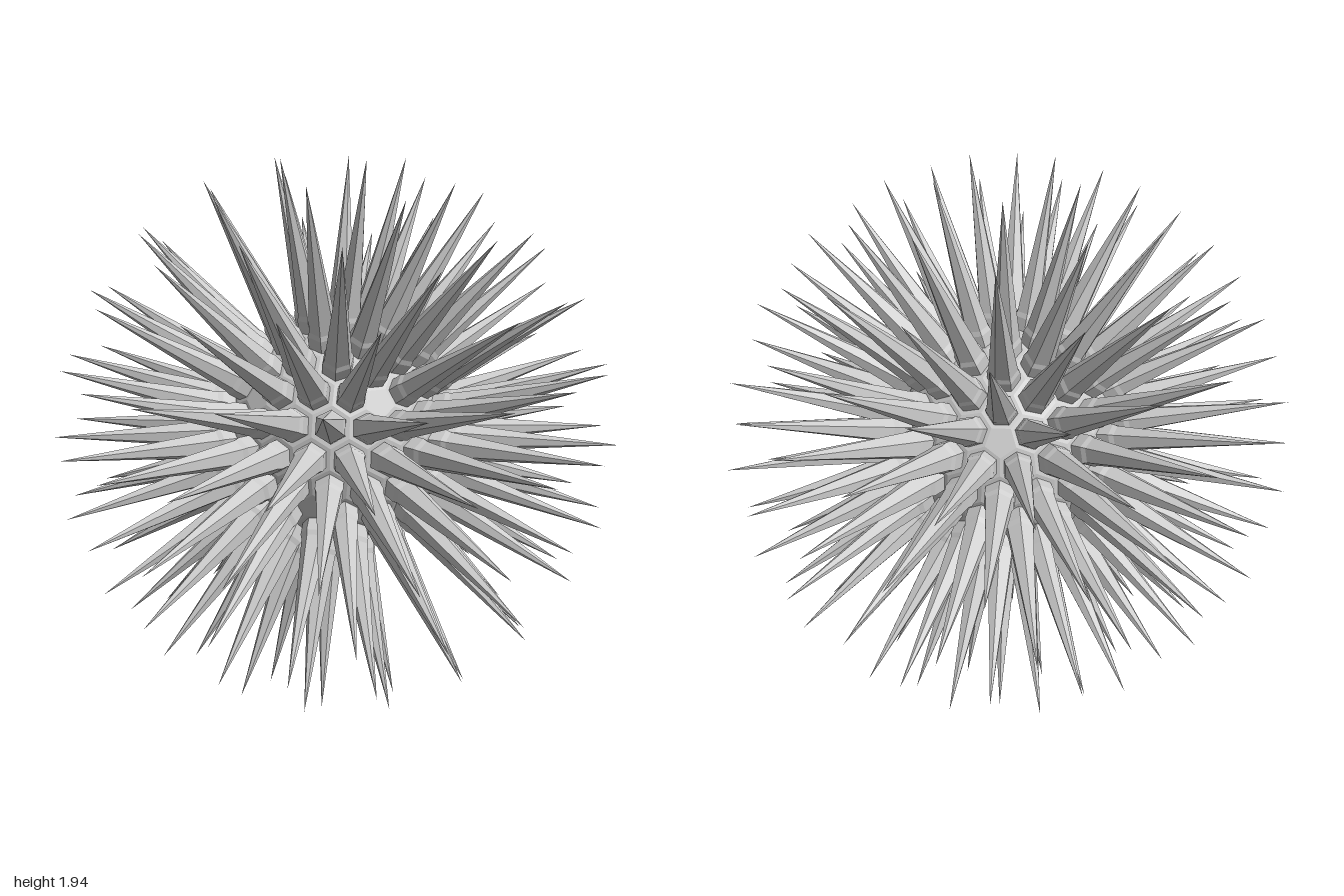
import * as THREE from 'three';

const CORE = 0.4, TIP = 1, N = 4;

// Icosahedron corners with a pole along y and the upper ring starting at +x.
function icoCorners() {
  const pts = [new THREE.Vector3(0, 1, 0), new THREE.Vector3(0, -1, 0)];
  const y = 1 / Math.sqrt(5), r = 2 * y;
  for (let k = 0; k < 5; k++) {
    const a = k * Math.PI * 0.4, b = a + Math.PI / 5;
    pts.push(new THREE.Vector3(r * Math.cos(a), y, r * Math.sin(a)));
    pts.push(new THREE.Vector3(r * Math.cos(b), -y, r * Math.sin(b)));
  }
  return pts;
}

// Cells of the ball: each subdivision point owns the centres of the triangles around it.
function makeCells() {
  const v = icoCorners(), cells = new Map();
  const near = (a, b) => v[a].distanceTo(v[b]) < 1.1;
  const addTriangle = (tri) => {
    const c = new THREE.Vector3();
    tri.forEach((p) => c.add(p));
    c.normalize().multiplyScalar(CORE);
    for (const p of tri) {
      const key = p.toArray().map((t) => Math.round(t * 1000) + 0).join();
      if (!cells.has(key)) cells.set(key, { dir: p.clone(), corners: [] });
      cells.get(key).corners.push(c);
    }
  };
  for (let a = 0; a < 12; a++) for (let b = a + 1; b < 12; b++) for (let c = b + 1; c < 12; c++) {
    if (!near(a, b) || !near(b, c) || !near(a, c)) continue;
    const at = (i, j) => new THREE.Vector3()
      .addScaledVector(v[a], (N - i - j) / N)
      .addScaledVector(v[b], i / N)
      .addScaledVector(v[c], j / N).normalize();
    for (let i = 0; i < N; i++) for (let j = 0; j < N - i; j++) {
      addTriangle([at(i, j), at(i + 1, j), at(i, j + 1)]);
      if (i + j < N - 1) addTriangle([at(i + 1, j), at(i + 1, j + 1), at(i, j + 1)]);
    }
  }
  // Order the corners counter-clockwise as seen from outside.
  for (const cell of cells.values()) {
    cell.center = new THREE.Vector3();
    cell.corners.forEach((p) => cell.center.addScaledVector(p, 1 / cell.corners.length));
    cell.dir = cell.center.clone().normalize();
    const u = cell.corners[0].clone().sub(cell.center).normalize();
    const w = cell.dir.clone().cross(u);
    const angle = (p) => {
      const d = p.clone().sub(cell.center);
      return Math.atan2(d.dot(w), d.dot(u));
    };
    cell.corners.sort((p, q) => angle(p) - angle(q));
  }
  return [...cells.values()];
}

function flatGeometry(points) {
  const g = new THREE.BufferGeometry().setFromPoints(points);
  g.computeVertexNormals();
  return g;
}

// Triangles from a closed ring to one point.
function fan(out, ring, apex) {
  ring.forEach((p, i) => out.push(p, ring[(i + 1) % ring.length], apex));
}

// Spike: straight collar, chamfer, then a long hexagonal point.
function spikeGeometry(cell) {
  const ring = (radius, scale) => cell.corners.map((p) => {
    const side = p.clone().addScaledVector(cell.dir, -p.dot(cell.dir));
    return side.multiplyScalar(scale).addScaledVector(cell.dir, radius);
  });
  const rings = [ring(0.385, 0.78), ring(0.44, 0.78), ring(0.457, 0.69)];
  const out = [];
  for (let k = 0; k < rings.length - 1; k++) {
    const lo = rings[k], hi = rings[k + 1];
    lo.forEach((p, i) => {
      const j = (i + 1) % lo.length;
      out.push(p, lo[j], hi[j], p, hi[j], hi[i]);
    });
  }
  fan(out, rings[2], cell.dir.clone().multiplyScalar(TIP));
  return flatGeometry(out);
}

export function createModel() {
  const model = new THREE.Group();
  model.name = 'spikyBall';
  const material = new THREE.MeshStandardMaterial({ color: 0xcccccc, flatShading: true });
  const cells = makeCells();

  // Faceted core of hexagons and twelve pentagons
  const corePoints = [];
  cells.forEach((c) => fan(corePoints, c.corners, c.center));
  const core = new THREE.Mesh(flatGeometry(corePoints), material);
  core.name = 'core';
  model.add(core);

  // One spike on every hexagon; the pentagons stay bare
  const spikes = new THREE.Group();
  spikes.name = 'spikes';
  for (const cell of cells) {
    if (cell.corners.length !== 6) continue;
    const spike = new THREE.Mesh(spikeGeometry(cell), material);
    spike.name = 'spike';
    spikes.add(spike);
  }
  model.add(spikes);

  // Stand the ball on the ground
  const lift = -new THREE.Box3().setFromObject(model).min.y;
  model.children.forEach((part) => { part.position.y = lift; });
  return model;
}
